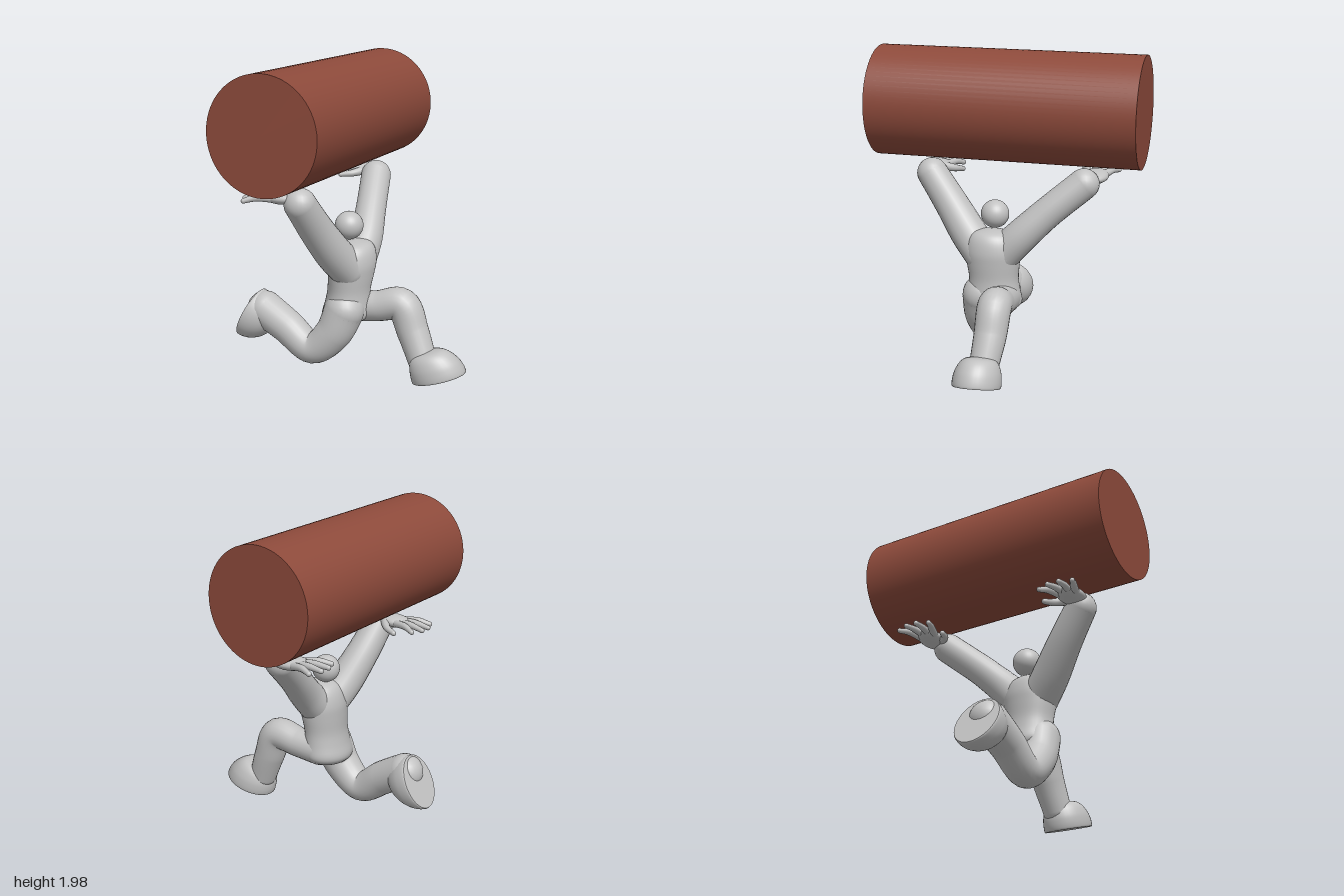
import * as THREE from 'three';
import { mergeGeometries } from 'three/addons/utils/BufferGeometryUtils.js';

const clay = new THREE.MeshStandardMaterial({ color: 0xc2c2c2 });
clay.name = 'light grey clay';
const wood = new THREE.MeshStandardMaterial({ color: 0x8d4a3b });
wood.name = 'red brown wood';

const HEADING = -0.378; // the figure runs along its own +x, turned by this angle
const V = (p) => new THREE.Vector3(...p);

function mesh(name, geometry, material = clay) {
  const m = new THREE.Mesh(geometry, material);
  m.name = name;
  return m;
}

// Smooth tube through points, with a radius at each point and round ends
function limbGeometry(points, radii, sides = 24) {
  const steps = 32;
  const curve = new THREE.CatmullRomCurve3(points.map(V));
  curve.getPointAt = curve.getPoint;
  curve.getTangentAt = curve.getTangent;
  const radius = new THREE.SplineCurve(radii.map((r, i) => new THREE.Vector2(i, r)));
  const tube = new THREE.TubeGeometry(curve, steps, 1, sides);
  const pos = tube.attributes.position;
  const v = new THREE.Vector3();
  for (let i = 0; i <= steps; i++) {
    const c = curve.getPoint(i / steps);
    const r = radius.getPoint(i / steps).y;
    for (let j = 0; j <= sides; j++) {
      const k = i * (sides + 1) + j;
      v.fromBufferAttribute(pos, k).sub(c).multiplyScalar(r).add(c);
      pos.setXYZ(k, v.x, v.y, v.z);
    }
  }
  const ends = [0, points.length - 1].map((i) =>
    new THREE.SphereGeometry(radii[i], sides, 14).translate(...points[i]));
  return mergeGeometries([tube, ...ends]);
}

// Rounded shoe: flat oval sole on y = 0, toe towards +x, dome leaning to the heel
function foot(name, center, pitch) {
  const profile = [[0.97, 0], [1, 0.06], [1, 0.25], [0.95, 0.5], [0.8, 0.78], [0.55, 0.94], [0, 1]]
    .map((p) => new THREE.Vector2(...p));
  const dome = new THREE.LatheGeometry(new THREE.SplineCurve(profile).getPoints(24), 36);
  const pos = dome.attributes.position;
  for (let i = 0; i < pos.count; i++) {
    const y = pos.getY(i);
    pos.setX(i, pos.getX(i) * (1 - 0.12 * y) - 0.22 * y * y);
  }
  const sole = new THREE.CircleGeometry(0.97, 36).rotateX(Math.PI / 2);
  const geometry = mergeGeometries([dome, sole]).scale(0.178, 0.18, 0.145);
  const m = mesh(name, geometry);
  m.position.set(...center);
  m.rotation.set(0, HEADING, pitch);
  return m;
}

// Flat palm with four spread fingers towards -x and a thumb on one side
function hand(name, wrist, tilt, thumbSide) {
  const g = new THREE.Group();
  g.name = name;
  const palm = new THREE.SphereGeometry(1, 24, 16).scale(0.12, 0.04, 0.08).translate(-0.11, 0, 0);
  g.add(mesh('palm', palm));
  for (let i = 0; i < 4; i++) {
    const s = (i - 1.5) / 1.5;
    const reach = 0.35 - 0.035 * s * s;
    g.add(mesh('finger', limbGeometry(
      [[-0.16, 0, s * 0.05], [-0.25, 0.004, s * 0.083], [-reach, -0.012, s * 0.11]],
      [0.024, 0.021, 0.016], 12)));
  }
  g.add(mesh('thumb', limbGeometry(
    [[-0.07, 0, thumbSide * 0.04], [-0.13, -0.02, thumbSide * 0.11], [-0.2, -0.035, thumbSide * 0.14]],
    [0.03, 0.023, 0.017], 12)));
  g.position.set(...wrist);
  g.rotation.set(0, HEADING, tilt);
  return g;
}

// Log held overhead
function log() {
  const front = V([-0.435, 1.65, 0.78]);
  const back = V([0.187, 1.625, -0.783]);
  const axis = front.clone().sub(back);
  const m = mesh('log', new THREE.CylinderGeometry(0.348, 0.348, axis.length(), 72), wood);
  m.position.copy(front).add(back).multiplyScalar(0.5);
  m.quaternion.setFromUnitVectors(V([0, 1, 0]), axis.normalize());
  return m;
}

// Torso with a slight flare over the hips, leaning forward
function torso() {
  const profile = [[0, 0.355], [0.09, 0.36], [0.155, 0.39], [0.176, 0.43], [0.165, 0.5], [0.158, 0.58],
    [0.168, 0.68], [0.172, 0.76], [0.15, 0.84], [0.1, 0.885], [0, 0.9]].map((p) => new THREE.Vector2(...p));
  const geometry = new THREE.LatheGeometry(new THREE.SplineCurve(profile).getPoints(40), 40);
  geometry.scale(0.82, 1, 1);
  const pos = geometry.attributes.position;
  for (let i = 0; i < pos.count; i++) pos.setX(i, pos.getX(i) + 0.14 * (pos.getY(i) - 0.6));
  const m = mesh('torso', geometry);
  m.position.set(0.018, 0, 0.12);
  m.rotation.y = HEADING;
  return m;
}

export function createModel() {
  const model = new THREE.Group();
  model.name = 'runner carrying a log';
  model.add(log(), torso());

  const head = mesh('head', new THREE.SphereGeometry(0.088, 32, 24));
  head.position.set(0.015, 0.985, 0.11);
  model.add(head);

  // Arms raised to the log
  model.add(mesh('rightArm', limbGeometry(
    [[0.01, 0.73, 0.19], [-0.07, 0.85, 0.27], [-0.165, 1.02, 0.37], [-0.25, 1.2, 0.48]],
    [0.115, 0.115, 0.105, 0.097])));
  model.add(mesh('leftArm', limbGeometry(
    [[0.07, 0.75, 0.06], [0.11, 0.86, -0.04], [0.135, 1.01, -0.2], [0.16, 1.19, -0.42]],
    [0.11, 0.105, 0.097, 0.096])));
  model.add(hand('rightHand', [-0.25, 1.235, 0.48], 0.03, -1));
  model.add(hand('leftHand', [0.17, 1.21, -0.47], -0.08, 1));

  // Trailing right leg
  model.add(mesh('rightLeg', limbGeometry(
    [[-0.01, 0.46, 0.19], [-0.08, 0.31, 0.18], [-0.215, 0.19, 0.13], [-0.38, 0.3, 0.05], [-0.53, 0.39, -0.03]],
    [0.125, 0.115, 0.1, 0.108, 0.115])));
  model.add(foot('rightFoot', [-0.63, 0.355, -0.08], -2.04));

  // Leading left leg
  model.add(mesh('leftLeg', limbGeometry(
    [[0.04, 0.45, 0.05], [0.19, 0.465, 0.1], [0.345, 0.49, 0.15], [0.415, 0.33, 0.185], [0.475, 0.16, 0.23]],
    [0.1, 0.096, 0.105, 0.1, 0.09])));
  model.add(foot('leftFoot', [0.58, 0.07, 0.285], 0.3));

  return model;
}
